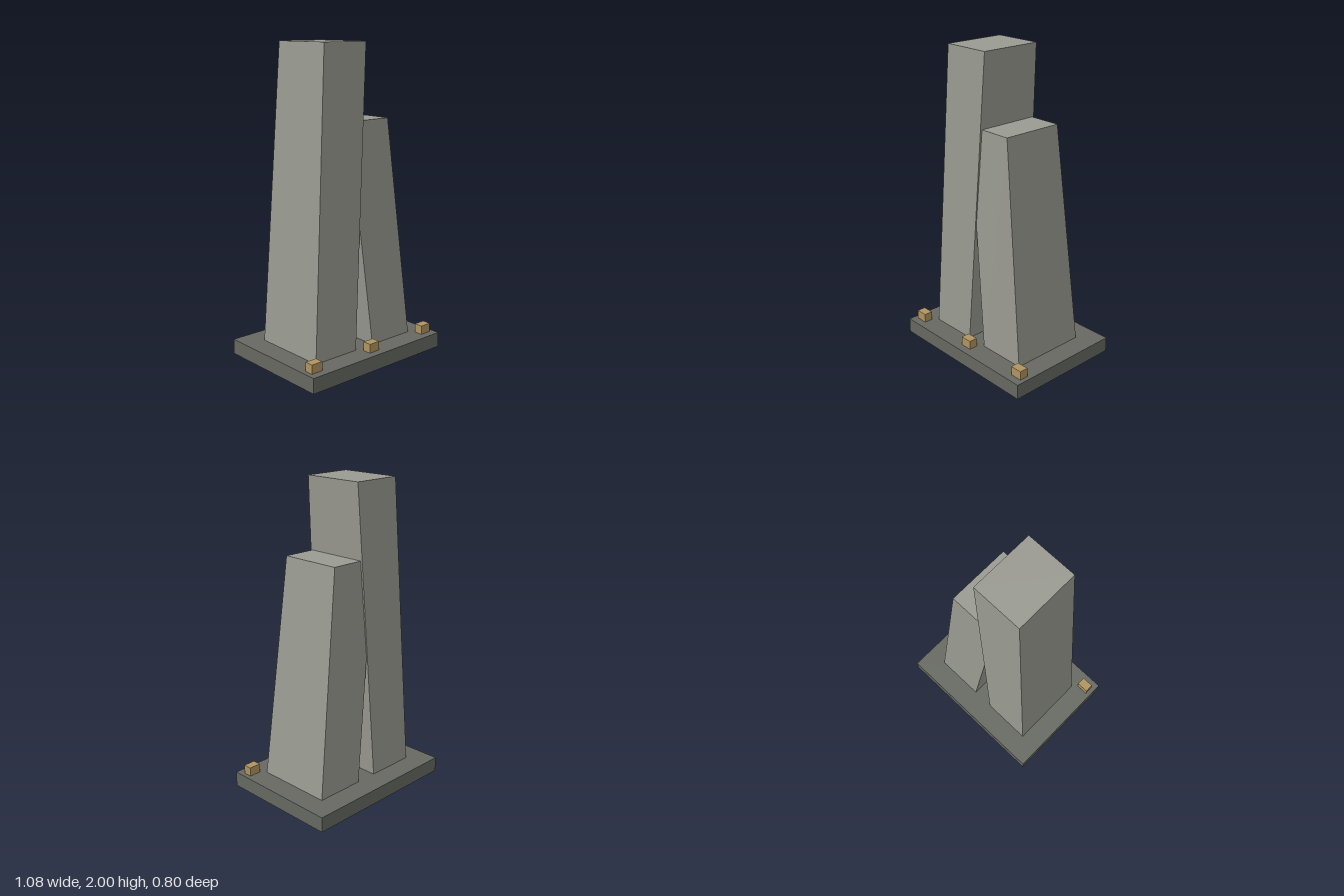
import * as THREE from 'three';

const BASE_TOP = 0.098;

// Box without its underside, from a bottom and a top rectangle: { x, y, w, d }
function taperedBox(bottom, top) {
  const g = new THREE.BoxGeometry(1, 1, 1);
  const index = Array.from(g.index.array);
  index.splice(18, 6); // drop the underside
  g.setIndex(index);
  g.clearGroups();
  const p = g.attributes.position;
  for (let i = 0; i < p.count; i++) {
    const r = p.getY(i) > 0 ? top : bottom;
    p.setXYZ(i, r.x + p.getX(i) * r.w, r.y, p.getZ(i) * r.d);
  }
  g.computeVertexNormals();
  return g;
}

export function createModel() {
  const group = new THREE.Group();
  const material = (name, color, side = THREE.FrontSide) =>
    new THREE.MeshStandardMaterial({ name, color, side });
  const stone = material('stone', 0x999a91);
  const darkStone = material('darkStone', 0x666861, THREE.DoubleSide);
  const brass = material('brass', 0xb09460);

  const add = (name, geometry, mat) => {
    const mesh = new THREE.Mesh(geometry, mat);
    mesh.name = name;
    group.add(mesh);
    return mesh;
  };

  // Plinth, hollow and open underneath
  add('base', taperedBox(
    { x: 0, y: 0, w: 1.08, d: 0.804 },
    { x: 0, y: BASE_TOP, w: 1.08, d: 0.804 }), darkStone);

  // Two leaning pillars that meet partway up
  add('tallPillar', taperedBox(
    { x: -0.236, y: BASE_TOP, w: 0.328, d: 0.516 },
    { x: -0.119, y: 2, w: 0.328, d: 0.414 }), stone);
  add('shortPillar', taperedBox(
    { x: 0.236, y: BASE_TOP, w: 0.328, d: 0.516 },
    { x: 0.07, y: 1.531, w: 0.328, d: 0.414 }), stone);

  // Small blocks along the front edge
  for (const x of [-0.47, 0, 0.47]) {
    const block = add('frontBlock', new THREE.BoxGeometry(0.08, 0.058, 0.058), brass);
    block.position.set(x, BASE_TOP + 0.029, 0.322);
  }

  return group;
}
